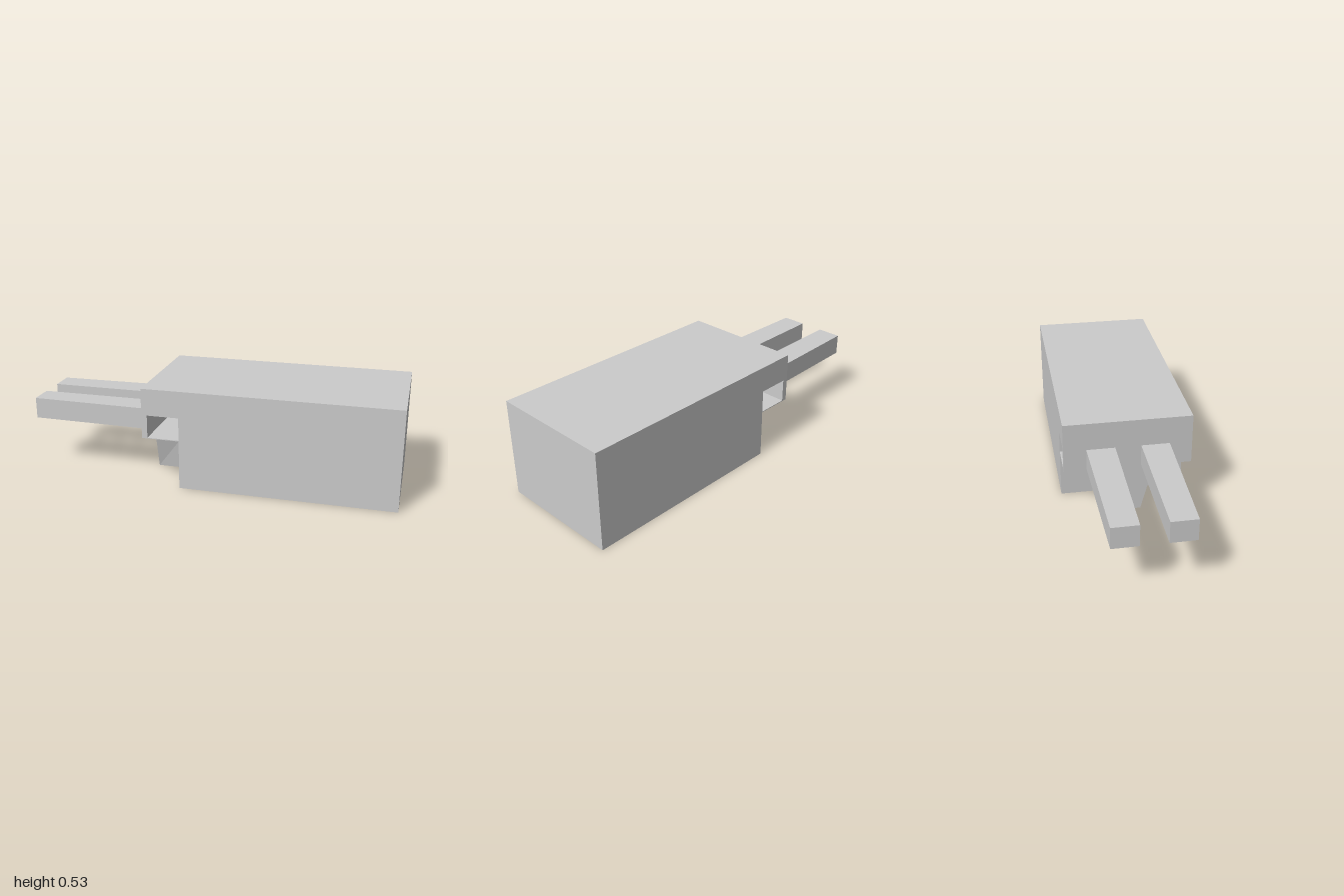
import * as THREE from 'three';

const HALF = 0.333;            // half depth of the body
const END = -0.333;            // x of the body's pronged end
const STEP = -0.133;           // x where the lower part steps back
const FLOOR = 0.267;           // height of the slot floor

const material = new THREE.MeshStandardMaterial({ color: 0xcccccc, flatShading: true });

function addMesh(parent, name, geometry) {
  const mesh = new THREE.Mesh(geometry, material);
  mesh.name = name;
  parent.add(mesh);
  return mesh;
}

// Box from min to max whose z faces can be moved by a rule (x, y, z) => z
function shapedBox(min, max, zRule) {
  const size = max.map((v, i) => v - min[i]);
  const g = new THREE.BoxGeometry(...size);
  g.translate(...min.map((v, i) => v + size[i] / 2));
  const p = g.attributes.position;
  for (let i = 0; i < p.count; i++) p.setZ(i, zRule(p.getX(i), p.getY(i), p.getZ(i)));
  g.computeVertexNormals();
  return g;
}

export function createModel() {
  const group = new THREE.Group();
  group.name = 'plugBlock';

  // Body: side profile with a stepped end and a slot running across it
  const profile = new THREE.Shape([
    [STEP, 0], [1, 0], [1, 0.533], [END, 0.533], [END, FLOOR - 0.004], [STEP, FLOOR - 0.004],
  ].map(([x, y]) => new THREE.Vector2(x, y)));
  profile.holes.push(new THREE.Path([
    [-0.303, FLOOR], [-0.303, 0.39], [STEP, 0.39], [STEP, FLOOR],
  ].map(([x, y]) => new THREE.Vector2(x, y))));
  const body = new THREE.ExtrudeGeometry(profile, { depth: 2 * HALF, bevelEnabled: false });
  body.translate(0, 0, -HALF);
  addMesh(group, 'body', body);

  // Central tongue under the slot, flaring towards its top
  addMesh(group, 'tongue', shapedBox([END, 0, -0.067], [STEP, FLOOR - 0.002, 0.067], (x, y, z) => {
    const flare = x < -0.2 ? 0.07 : 0.045;
    return z + Math.sign(z) * flare * (y / FLOOR);
  }));

  // Pair of prongs, slightly narrower at the tip
  for (const side of [1, -1]) {
    const inner = 0.067, tip = 0.2;
    const z0 = side > 0 ? inner : -tip, z1 = side > 0 ? tip : -inner;
    const prong = shapedBox([-1, 0.27, z0], [-0.32, 0.384, z1], (x, y, z) =>
      (Math.abs(z) > 0.1 && x > -0.5 ? z + side * 0.016 : z));
    addMesh(group, side > 0 ? 'frontProng' : 'backProng', prong);
  }

  return group;
}
